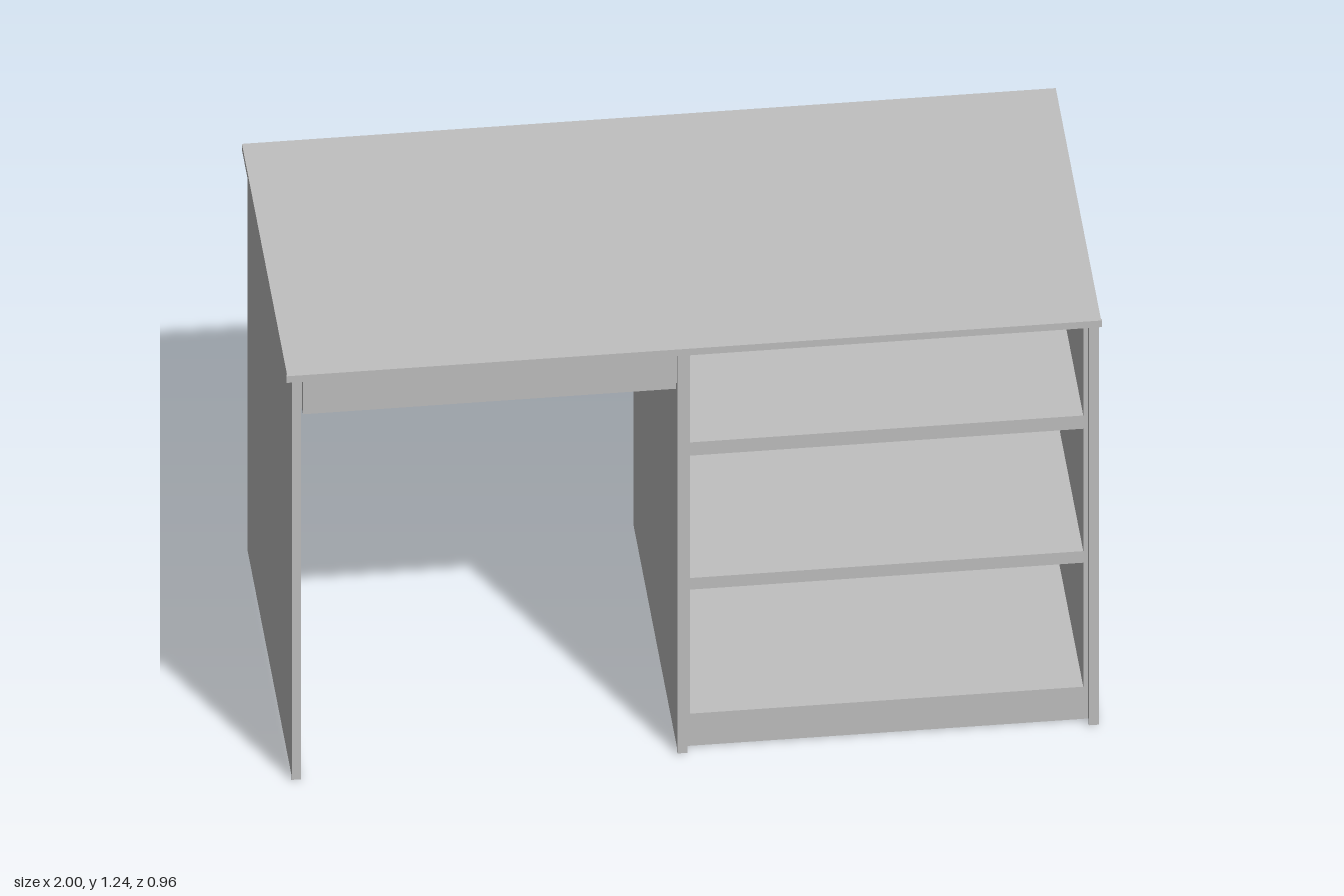
import * as THREE from 'three';

const grey = new THREE.MeshStandardMaterial({ color: 0xc0c0c0 });
grey.name = 'grey board';

// Box given by its limits on each axis
function board(name, [x0, x1], [y0, y1], [z0, z1]) {
  const mesh = new THREE.Mesh(new THREE.BoxGeometry(x1 - x0, y1 - y0, z1 - z0), grey);
  mesh.position.set((x0 + x1) / 2, (y0 + y1) / 2, (z0 + z1) / 2);
  mesh.name = name;
  return mesh;
}

// Upright panel with a slightly proud edge strip along its front
function uprightPanel(name, x0, x1) {
  const group = new THREE.Group();
  group.name = name;
  group.add(
    board(name + 'Board', [x0 + 0.001, x1 - 0.001], [0.004, 1.216], [-0.48, 0.455]),
    board(name + 'EdgeStrip', [x0, x1], [0, 1.216], [0.455, 0.462])
  );
  return group;
}

// Shelf unit: a rectangular block with three openings, closed at the back
function shelfUnit() {
  const group = new THREE.Group();
  group.name = 'shelfUnit';
  const rect = (target, x0, x1, y0, y1) =>
    target.moveTo(x0, y0).lineTo(x1, y0).lineTo(x1, y1).lineTo(x0, y1).closePath();
  const shape = new THREE.Shape();
  rect(shape, -0.016, 0.971, 0.003, 1.216);
  for (const [y0, y1] of [[0.1, 0.475], [0.51, 0.88], [0.92, 1.203]]) {
    const hole = new THREE.Path();
    rect(hole, -0.006, 0.959, y0, y1);
    shape.holes.push(hole);
  }
  const zBack = -0.465, zFront = 0.438;
  const geometry = new THREE.ExtrudeGeometry(shape, { depth: zFront - zBack, bevelEnabled: false });
  geometry.translate(0, 0, zBack);
  const shelves = new THREE.Mesh(geometry, grey);
  shelves.name = 'shelves';
  group.add(shelves, board('backPanel', [-0.037, 0.995], [0.003, 1.216], [-0.482, -0.465]));
  return group;
}

export function createModel() {
  const desk = new THREE.Group();
  desk.name = 'desk';

  // Table top with a slim front edge strip
  desk.add(
    board('tableTop', [-0.998, 0.998], [1.217, 1.235], [-0.482, 0.475]),
    board('tableTopEdgeStrip', [-1, 1], [1.216, 1.236], [0.475, 0.482])
  );

  // Uprights
  desk.add(
    uprightPanel('legPanel', -0.985, -0.962),
    uprightPanel('divider', -0.039, -0.015),
    uprightPanel('sidePanel', 0.97, 0.995)
  );

  desk.add(shelfUnit());

  // Drawer under the top and the rails behind the knee space
  desk.add(
    board('drawerBox', [-0.962, -0.039], [1.112, 1.205], [-0.462, 0.45]),
    board('drawerFront', [-0.958, -0.043], [1.106, 1.206], [0.45, 0.466]),
    board('upperRail', [-0.962, -0.039], [1.106, 1.216], [-0.48, -0.462]),
    board('lowerRail', [-0.962, -0.039], [0.458, 0.553], [-0.48, -0.46])
  );

  return desk;
}
